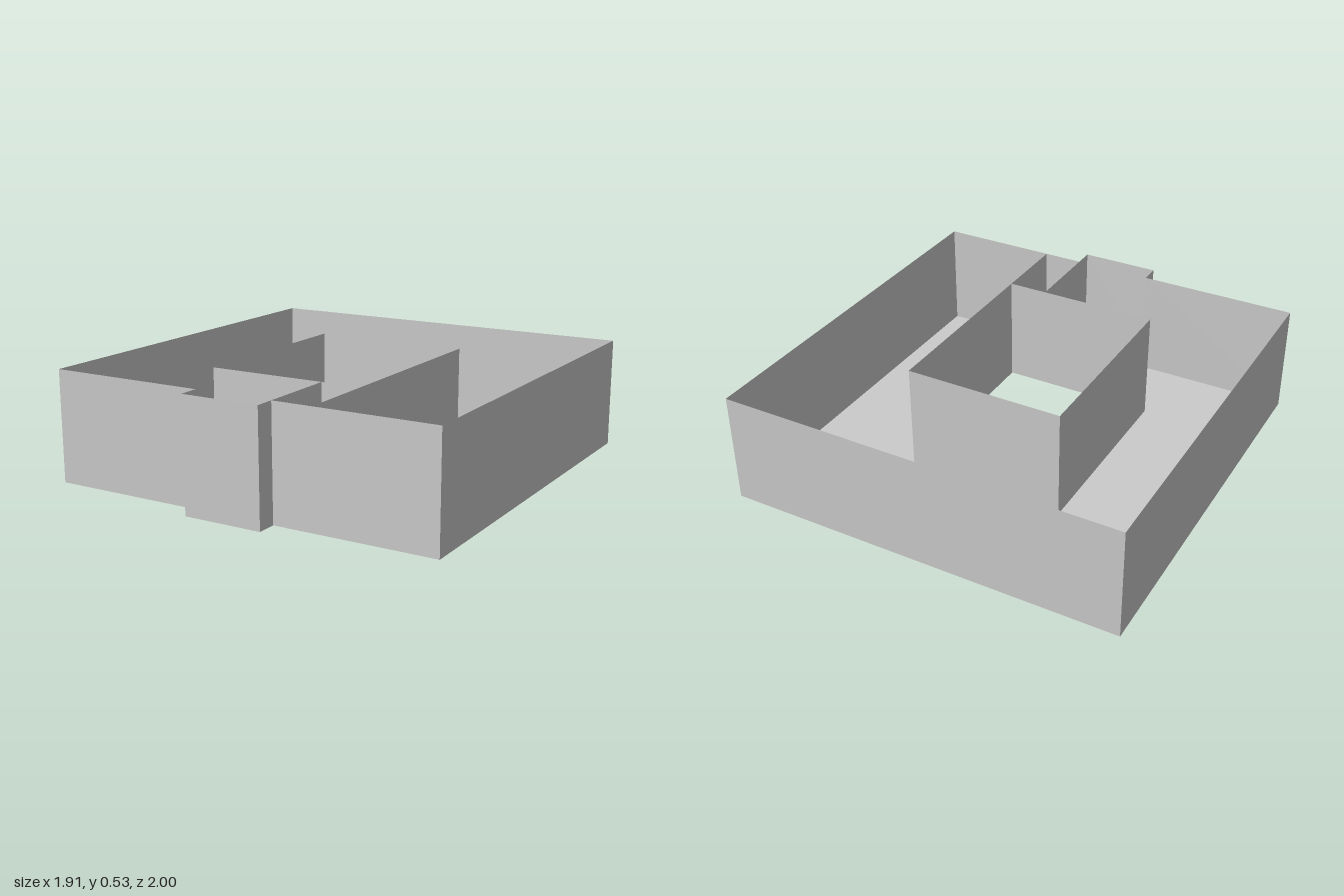
import * as THREE from 'three';

const HEIGHT = 0.53;
const FRONT = 0.905, BACK = -1, SIDE = 0.955; // main outline
const PORCH = 0.19, PORCH_FRONT = 1; // entrance bay
const COURT_X = 0.383, COURT_BACK = -0.427, COURT_FRONT = 0.522; // inner courtyard

const material = new THREE.MeshStandardMaterial({
  color: 0xcccccc, flatShading: true, side: THREE.DoubleSide,
});

// Thin upright walls following a path of [x, z] points
function walls(name, path) {
  const group = new THREE.Group();
  group.name = name;
  for (let i = 0; i < path.length - 1; i++) {
    const [x0, z0] = path[i], [x1, z1] = path[i + 1];
    const wall = new THREE.Mesh(
      new THREE.PlaneGeometry(Math.hypot(x1 - x0, z1 - z0), HEIGHT), material);
    wall.position.set((x0 + x1) / 2, HEIGHT / 2, (z0 + z1) / 2);
    wall.rotation.y = Math.atan2(z0 - z1, x1 - x0);
    wall.name = name + 'Panel';
    group.add(wall);
  }
  return group;
}

export function createModel() {
  const model = new THREE.Group();
  model.name = 'courtyardHouse';

  // Outer shell, including the projecting entrance bay
  const outline = [
    [-PORCH, FRONT], [-PORCH, PORCH_FRONT], [PORCH, PORCH_FRONT], [PORCH, FRONT],
    [SIDE, FRONT], [SIDE, BACK], [-SIDE, BACK], [-SIDE, FRONT], [-PORCH, FRONT],
  ];
  model.add(walls('outerWall', outline));

  // Walls around the open courtyard
  const court = [
    [-COURT_X, COURT_FRONT], [COURT_X, COURT_FRONT],
    [COURT_X, COURT_BACK], [-COURT_X, COURT_BACK], [-COURT_X, COURT_FRONT],
  ];
  model.add(walls('courtyardWall', court));

  // Two partitions closing off the small room beside the entrance
  model.add(walls('entrancePartition', [[PORCH, FRONT], [PORCH, COURT_FRONT]]));
  model.add(walls('roomPartition', [[COURT_X, FRONT], [COURT_X, COURT_FRONT]]));

  // Floor with the courtyard cut out
  const toShape = ([x, z]) => new THREE.Vector2(x, -z);
  const shape = new THREE.Shape(outline.slice(0, -1).map(toShape));
  shape.holes.push(new THREE.Path(court.map(toShape)));
  const floor = new THREE.Mesh(new THREE.ShapeGeometry(shape), material);
  floor.rotation.x = -Math.PI / 2;
  floor.name = 'floor';
  model.add(floor);

  return model;
}
